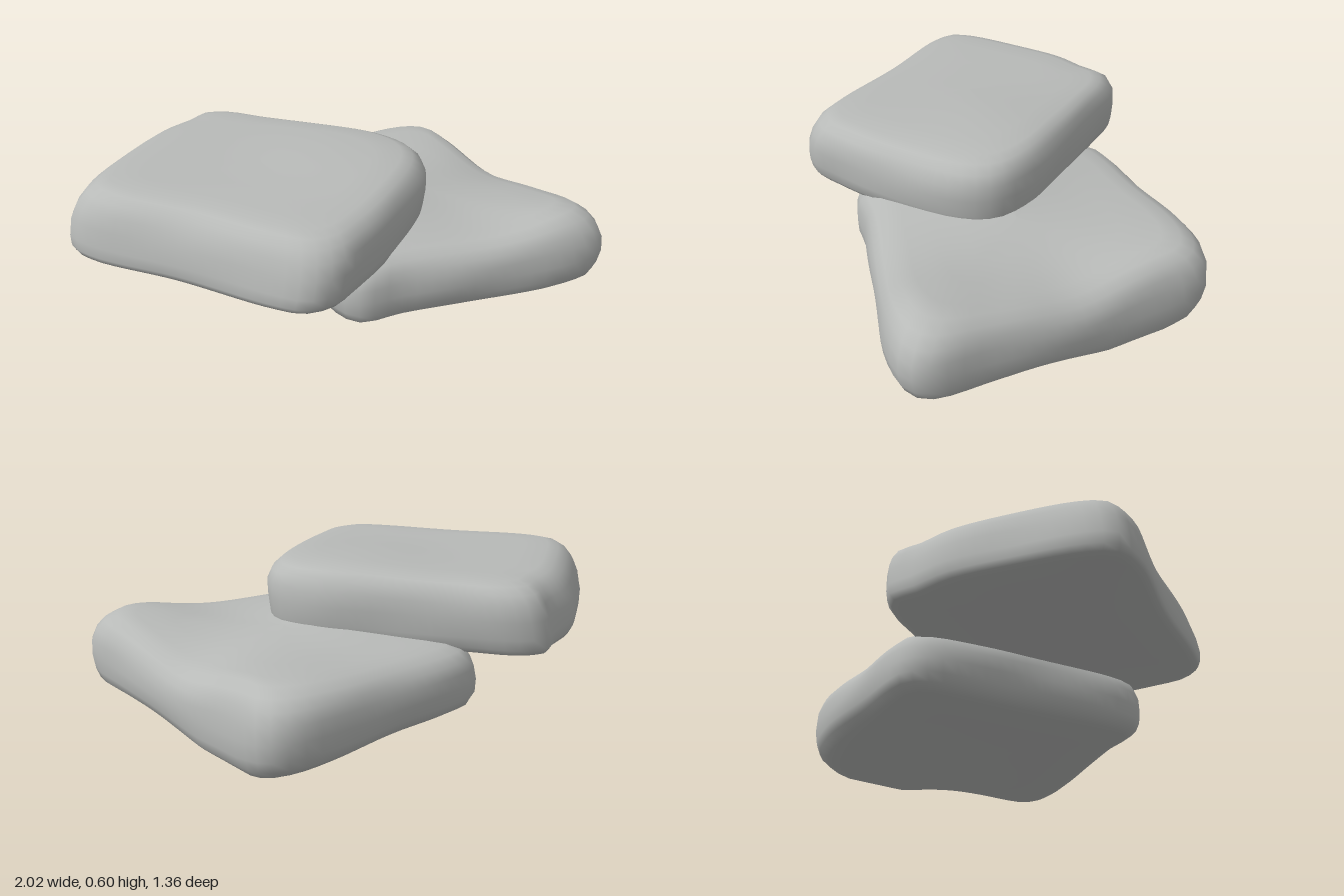
import * as THREE from 'three';

const bump = (x, z, cx, cz, r) => Math.exp(-((x - cx) ** 2 + (z - cz) ** 2) / (r * r));

// Lofts a worn stone slab: an outline [x, z] is scaled and raised along a profile [scale, height 0..1]
function slab(name, material, outline, profile, bottom, top, lean) {
  const N = 72;
  const curve = new THREE.CatmullRomCurve3(
    outline.map(([x, z]) => new THREE.Vector3(x, 0, z)), true, 'centripetal');
  const ring = curve.getSpacedPoints(N).slice(0, N);
  const centre = ring.reduce((s, p) => s.add(p), new THREE.Vector3()).divideScalar(N);
  const positions = [], index = [];
  profile.forEach(([scale, t], j) => {
    ring.forEach((p, i) => {
      // gentle chips along the side walls
      const wear = scale > 0.8 ? 0.006 * Math.sin(i * 0.61 + j * 1.3) * Math.sin(t * Math.PI) : 0;
      const x = centre.x + (p.x - centre.x) * (scale + wear);
      const z = centre.z + (p.z - centre.z) * (scale + wear);
      const lo = bottom(x, z), hi = top(x, z);
      positions.push(x + lean * (t - 0.6), lo + (hi - lo) * t, z);
      if (j < profile.length - 1) {
        const a = j * N + i, b = j * N + (i + 1) % N, c = b + N, d = a + N;
        index.push(a, d, c, a, c, b);
      }
    });
  });
  const geometry = new THREE.BufferGeometry();
  geometry.setAttribute('position', new THREE.Float32BufferAttribute(positions, 3));
  geometry.setIndex(index);
  geometry.computeVertexNormals();
  const mesh = new THREE.Mesh(geometry, material);
  mesh.name = name;
  return mesh;
}

export function createModel() {
  const group = new THREE.Group();
  group.name = 'stackedStones';
  const stone = new THREE.MeshStandardMaterial({ color: 0xb8bab8 });
  stone.name = 'grey stone';

  // Upper slab, turned like a diamond
  const upperOutline = [
    [-1, -0.1], [-0.96, -0.19], [-0.78, -0.38], [-0.59, -0.55], [-0.43, -0.63], [-0.36, -0.68],
    [-0.25, -0.65], [-0.1, -0.51], [0.1, -0.32], [0.32, -0.09], [0.39, 0.07], [0.35, 0.21],
    [0.1, 0.46], [-0.1, 0.61], [-0.2, 0.67], [-0.31, 0.67], [-0.41, 0.59], [-0.68, 0.28], [-0.95, 0.01],
  ];
  const upperProfile = [
    [0, 0], [0.5, 0], [0.9, 0], [0.965, 0.02], [0.99, 0.1], [1, 0.25], [0.995, 0.5],
    [0.975, 0.7], [0.935, 0.85], [0.88, 0.94], [0.81, 0.985], [0.65, 1], [0.4, 1], [0.2, 1], [0, 1],
  ];
  group.add(slab('upperSlab', stone, upperOutline, upperProfile,
    (x) => 0.295 + 0.01 * x,
    (x, z) => 0.572 + 0.028 * bump(x, z, 0.08, 0, 0.35), 0.05));

  // Lower slab, flatter and skewed
  const lowerOutline = [
    [-0.2, -0.46], [-0.15, -0.54], [-0.04, -0.575], [0.2, -0.61], [0.5, -0.665], [0.68, -0.66],
    [0.765, -0.61], [0.8, -0.48], [0.84, -0.28], [0.92, 0.04], [0.965, 0.25], [1, 0.48], [0.96, 0.55],
    [0.81, 0.585], [0.4, 0.555], [0.1, 0.53], [-0.08, 0.53], [-0.14, 0.45], [-0.18, 0],
  ];
  const lowerProfile = [
    [0, 0], [0.3, 0], [0.6, 0], [0.82, 0], [0.91, 0.03], [0.965, 0.12], [0.99, 0.25], [1, 0.45],
    [0.99, 0.65], [0.965, 0.8], [0.92, 0.91], [0.85, 0.98], [0.75, 1], [0.55, 1], [0.35, 1], [0.15, 1], [0, 1],
  ];
  group.add(slab('lowerSlab', stone, lowerOutline, lowerProfile,
    // underside sags towards the back right corner
    (x, z) => Math.max(0, 0.07 - 0.085 * bump(x, z, 0.76, -0.34, 0.3)),
    // raised corners, a dip along the right edge, and a swell beneath the upper slab
    (x, z) => 0.335 + 0.055 * bump(x, z, 0.83, 0.46, 0.22) + 0.02 * bump(x, z, 0.62, -0.55, 0.25)
      - 0.05 * bump(x, z, 0.88, -0.12, 0.2) + 0.06 * bump(x, z, 0.1, 0.05, 0.3), 0));

  return group;
}
